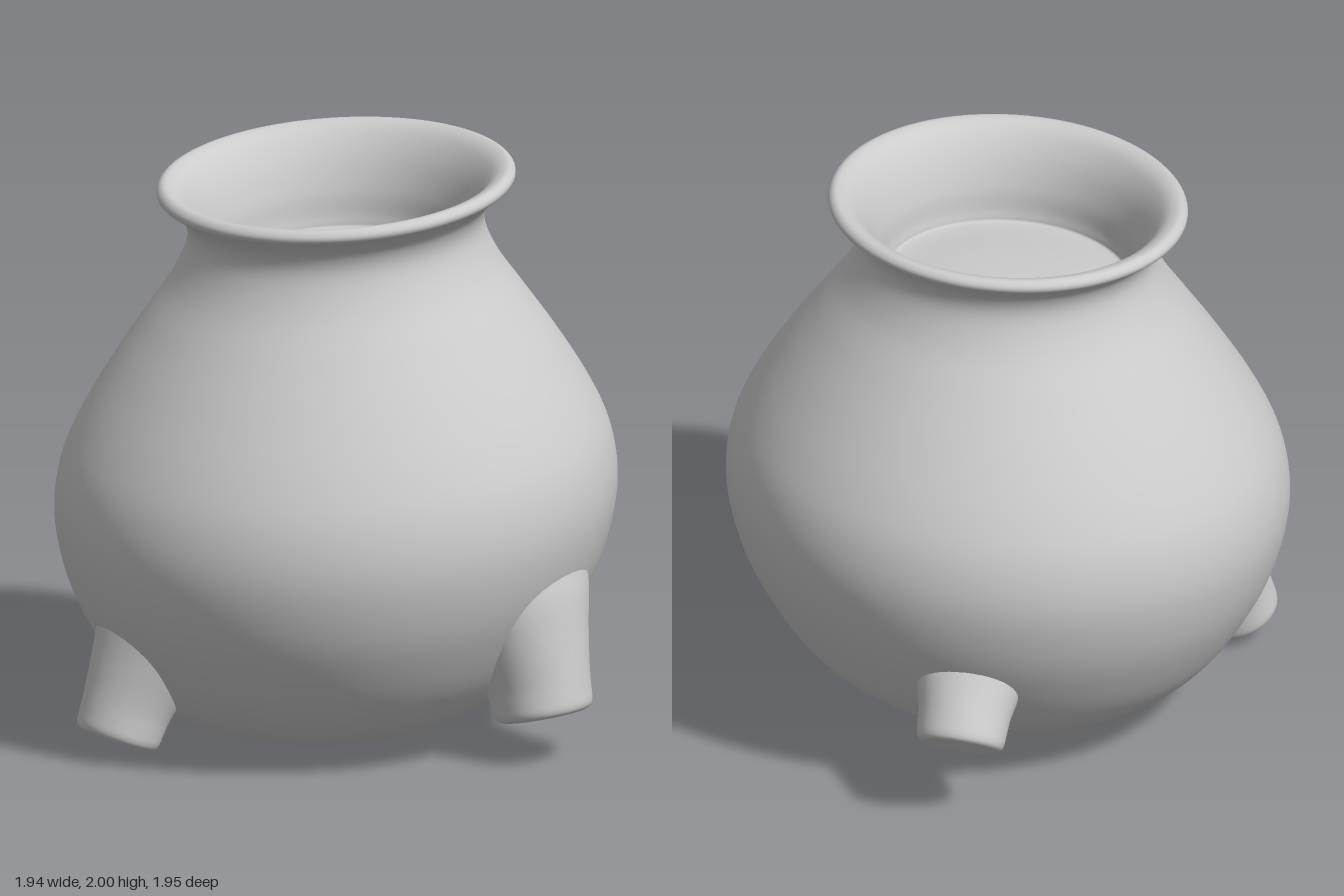
import * as THREE from 'three';
import { mergeVertices } from 'three/addons/utils/BufferGeometryUtils.js';

const material = new THREE.MeshStandardMaterial({ color: 0xcccccc });

// Smooth lathe from a few profile points, with an optional rule that moves each vertex
function turned(points, steps, sides, move) {
  const curve = new THREE.SplineCurve(points.map(([r, y]) => new THREE.Vector2(r, y)));
  const profile = curve.getPoints(steps);
  profile.forEach(p => { p.x = Math.max(p.x, 0); });
  let geo = new THREE.LatheGeometry(profile, sides);
  const pos = geo.attributes.position;
  const v = new THREE.Vector3();
  for (let i = 0; i < pos.count; i++) {
    v.fromBufferAttribute(pos, i);
    move(v);
    pos.setXYZ(i, v.x, v.y, v.z);
  }
  // Weld the seam so the normals stay smooth all round
  geo.deleteAttribute('uv');
  geo.deleteAttribute('normal');
  geo = mergeVertices(geo, 1e-4);
  geo.computeVertexNormals();
  return geo;
}

// Stubby foot: the end sits at `tip`, the shank runs along `up` into the body
function makeLeg(name, tip, up, radius) {
  const profile = [
    [0, 0.012], [0.7, 0.004], [0.88, 0.006], [0.97, 0.025], [1, 0.07],
    [1.04, 0.16], [1.1, 0.28], [1.16, 0.42], [1.1, 0.56],
  ].map(([r, y]) => [r * radius, y]);

  const geo = turned(profile, 48, 40, v => {
    // Spread the root sideways and underneath where it blends into the belly
    const flare = 1 + 1.6 * Math.max(0, v.y - 0.1) ** 1.3;
    v.x *= flare;
    if (v.z < 0) v.z *= flare;
    else v.z *= 0.93;
  });

  const y = new THREE.Vector3(...up).normalize();
  const z = new THREE.Vector3(tip[0], 0, tip[2]);
  z.addScaledVector(y, -z.dot(y)).normalize();
  const x = new THREE.Vector3().crossVectors(y, z);
  geo.applyMatrix4(new THREE.Matrix4().makeBasis(x, y, z).setPosition(...tip));

  const leg = new THREE.Mesh(geo, material);
  leg.name = name;
  return leg;
}

export function createModel() {
  const group = new THREE.Group();
  group.name = 'pot';

  // Belly, neck, flared rim, inside of the neck and its closed floor
  const profile = [
    [0, 0.012], [0.25, 0.025], [0.42, 0.065], [0.6, 0.145], [0.75, 0.28],
    [0.87, 0.47], [0.94, 0.64], [0.972, 0.82], [0.95, 0.99], [0.88, 1.15],
    [0.77, 1.33], [0.66, 1.49], [0.565, 1.63], [0.515, 1.75], [0.525, 1.83],
    [0.575, 1.885], [0.615, 1.915], [0.617, 1.94], [0.59, 1.955], [0.54, 1.93],
    [0.485, 1.85], [0.445, 1.74], [0.43, 1.645], [0.4, 1.62], [0.2, 1.635], [0, 1.64],
  ];
  const bodyGeo = turned(profile, 130, 96, v => {
    v.y += 0.078 * v.x; // the pot leans, higher on its left
    v.z *= 0.985;
    v.z -= 0.005;
  });
  const body = new THREE.Mesh(bodyGeo, material);
  body.name = 'body';
  group.add(body);

  // Three feet spaced round the belly
  group.add(
    makeLeg('frontLeg', [0.14, 0.16, 0.84], [0, 1, -0.25], 0.18),
    makeLeg('rightLeg', [-0.835, 0.065, -0.27], [0.36, 0.93, 0.1], 0.155),
    makeLeg('backLeftLeg', [0.74, 0.31, -0.57], [-0.53, 0.75, 0.36], 0.155),
  );
  return group;
}
